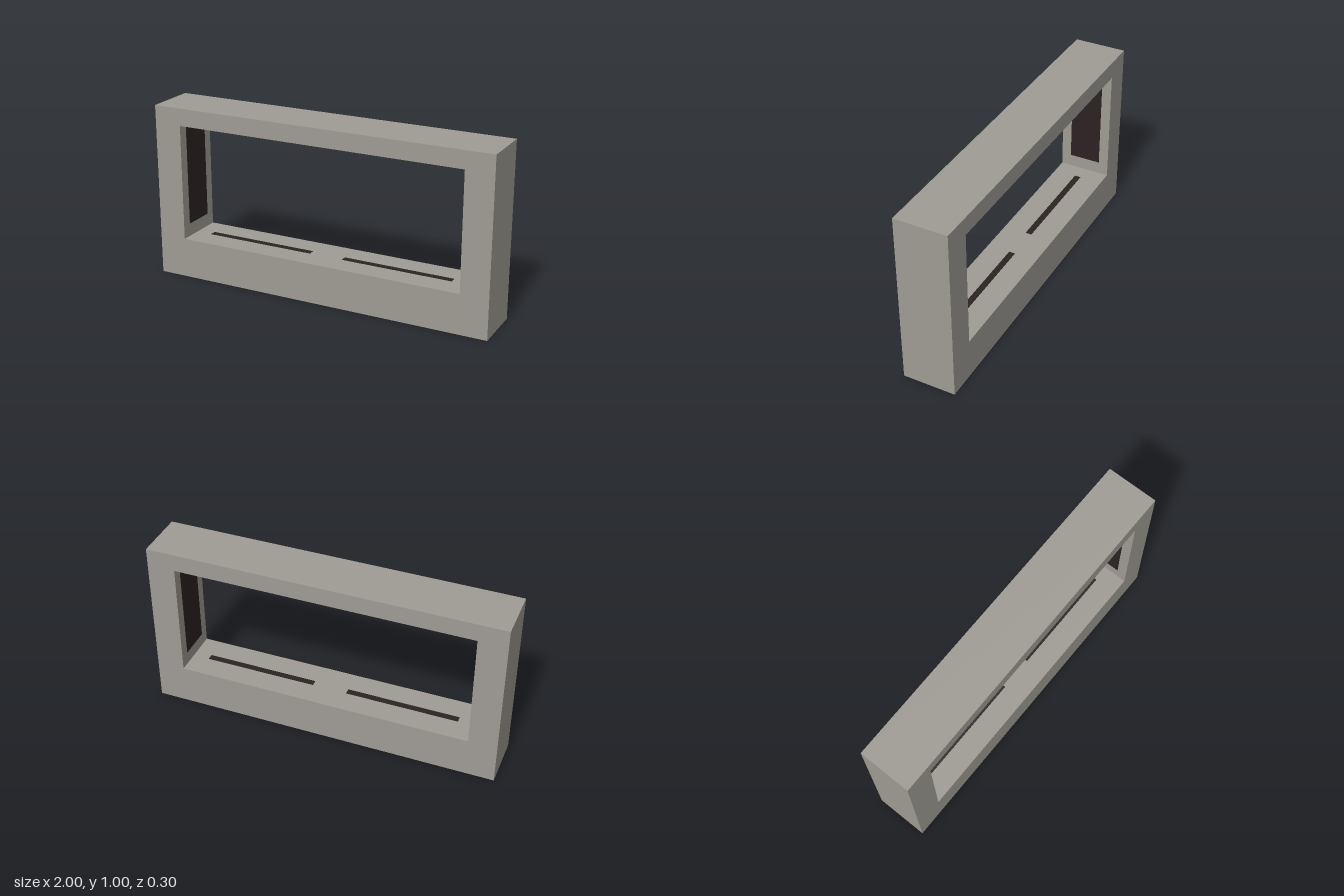
import * as THREE from 'three';

const frameGrey = new THREE.MeshStandardMaterial({ color: 0x9f9b94 });
frameGrey.name = 'frameGrey';
const darkBrown = new THREE.MeshStandardMaterial({ color: 0x2c2222 });
darkBrown.name = 'darkBrown';

const DEPTH = 0.3;
const OPEN = { x: 0.84, bottom: 0.23, top: 0.9 };
const PLATE = 0.004;

function rectangle(Type, x0, y0, x1, y1) {
  const path = new Type();
  path.moveTo(x0, y0);
  path.lineTo(x1, y0);
  path.lineTo(x1, y1);
  path.lineTo(x0, y1);
  path.closePath();
  return path;
}

function addPlate(group, name, size, position) {
  const mesh = new THREE.Mesh(new THREE.BoxGeometry(...size), darkBrown);
  mesh.name = name;
  mesh.position.set(...position);
  group.add(mesh);
}

export function createModel() {
  const model = new THREE.Group();
  model.name = 'openFrame';

  // Solid surround with a rectangular opening and a deeper sill
  const outline = rectangle(THREE.Shape, -1, 0, 1, 1);
  outline.holes.push(rectangle(THREE.Path, -OPEN.x, OPEN.bottom, OPEN.x, OPEN.top));
  const geometry = new THREE.ExtrudeGeometry(outline, { depth: DEPTH, bevelEnabled: false });
  geometry.translate(0, 0, -DEPTH / 2);
  const frame = new THREE.Mesh(geometry, frameGrey);
  frame.name = 'frame';
  model.add(frame);

  for (const side of [-1, 1]) {
    const label = side > 0 ? 'left' : 'right';

    // Dark panel on the inner face of each jamb
    const panelBottom = 0.305;
    addPlate(model, label + 'JambPanel',
      [PLATE, OPEN.top - panelBottom, 0.185],
      [side * OPEN.x, (OPEN.top + panelBottom) / 2, 0]);

    // Narrow slots along the sill and the lintel
    addPlate(model, label + 'SillSlot', [0.645, PLATE, 0.035], [side * 0.422, OPEN.bottom, 0]);
    addPlate(model, label + 'LintelSlot', [0.66, PLATE, 0.04], [side * 0.415, OPEN.top, 0]);
  }

  return model;
}
